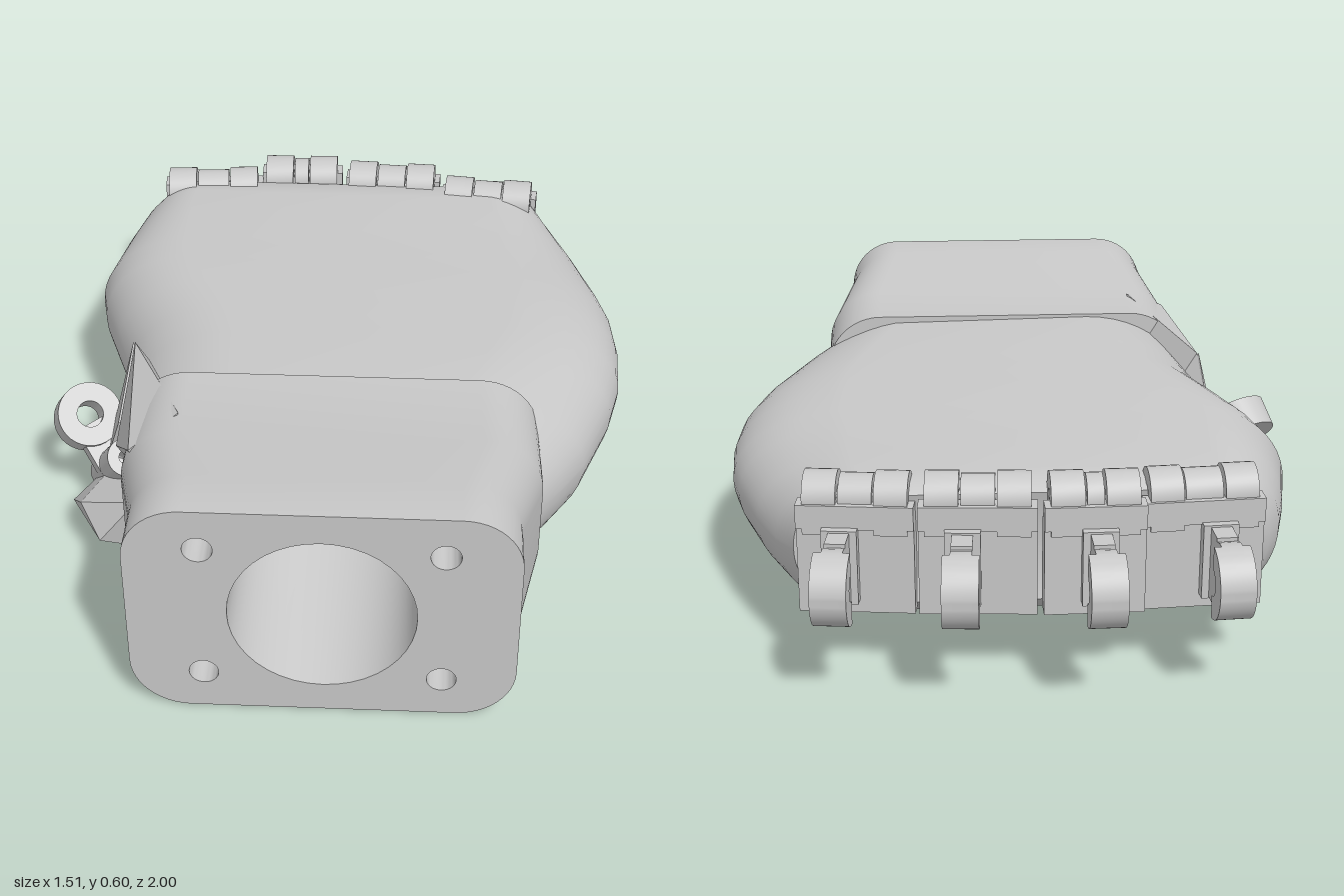
import * as THREE from 'three';
import { toCreasedNormals } from 'three/addons/utils/BufferGeometryUtils.js';
import { ConvexGeometry } from 'three/addons/geometries/ConvexGeometry.js';

const plastic = new THREE.MeshStandardMaterial({ color: 0xc8c8c8 });
plastic.name = 'grey plastic';

function mesh(name, geometry, x = 0, y = 0, z = 0) {
  const m = new THREE.Mesh(geometry, plastic);
  m.name = name;
  m.position.set(x, y, z);
  return m;
}

// Skin a row of rings; rings run anticlockwise seen from +z, first ring nearest +z
function loft(rings, capEnd = false) {
  const n = rings[0].length, index = [];
  const pos = rings.flat(2);
  for (let i = 0; i < rings.length - 1; i++) {
    for (let j = 0; j < n; j++) {
      const a = i * n + j, b = i * n + (j + 1) % n;
      index.push(a, a + n, b, b, a + n, b + n);
    }
  }
  if (capEnd) {
    const last = rings[rings.length - 1], c = rings.length * n;
    pos.push(...[0, 1, 2].map(k => last.reduce((s, p) => s + p[k], 0) / n));
    for (let j = 0; j < n; j++) index.push(c - n + j, c, c - n + (j + 1) % n);
  }
  const g = new THREE.BufferGeometry();
  g.setAttribute('position', new THREE.Float32BufferAttribute(pos, 3));
  g.setIndex(index);
  g.computeVertexNormals();
  return toCreasedNormals(g, 0.6);
}

// Rectangle outline with elliptical corners, rl on the -x side and rr on the +x side
function section(z, x0, x1, y0, y1, rl, rr, ry) {
  const out = [], steps = 12;
  const corners = [[x1 - rr, y0 + ry, rr, -1], [x1 - rr, y1 - ry, rr, 0],
    [x0 + rl, y1 - ry, rl, 1], [x0 + rl, y0 + ry, rl, 2]];
  for (const [cx, cy, rx, q] of corners) {
    for (let i = 0; i <= steps; i++) {
      const t = (q + i / steps) * Math.PI / 2;
      out.push([cx + rx * Math.cos(t), cy + ry * Math.sin(t), z]);
    }
  }
  return out;
}

function oval(cx, cy, z, rx, ry, n = 40) {
  return Array.from({ length: n }, (_, i) => {
    const t = i / n * Math.PI * 2;
    return [cx + rx * Math.cos(t), cy + ry * Math.sin(t), z];
  });
}

// Eye plate lying across x, with a pin hole; a sweep under PI leaves only its outer (-z) part
function eye(radius, hole, width, sweep = Math.PI) {
  const s = new THREE.Shape().absarc(0, 0, radius, -sweep, sweep);
  if (sweep < Math.PI) s.absarc(0, 0, hole, sweep, -sweep, true);
  else s.holes.push(new THREE.Path().absarc(0, 0, hole, 0, Math.PI * 2, true));
  const g = new THREE.ExtrudeGeometry(s, { depth: width, bevelEnabled: false, curveSegments: 16 });
  g.translate(0, 0, -width / 2).rotateY(Math.PI / 2);
  return toCreasedNormals(g, 0.6);
}

function buildWrist() {
  const wrist = new THREE.Group();
  wrist.name = 'wrist';
  const rings = [
    [1, -0.46, 0.45, 0, 0.6, 0.14], [0.87, -0.46, 0.45, 0, 0.6, 0.14],
    [0.64, -0.515, 0.51, 0.06, 0.545, 0.15], [0.4, -0.515, 0.505, 0.06, 0.545, 0.15],
  ].map(([z, x0, x1, y0, y1, r]) => section(z, x0, x1, y0, y1, r, r, r));
  wrist.add(mesh('wristShell', loft(rings, true)));

  // Front face with socket and four screw holes
  const face = new THREE.Shape(rings[0].map(p => new THREE.Vector2(p[0], p[1])));
  const holes = [[-0.005, 0.3, 0.22]];
  for (const x of [-0.285, 0.275]) for (const y of [0.11, 0.49]) holes.push([x, y, 0.035]);
  for (const [x, y, r] of holes) {
    face.holes.push(new THREE.Path(oval(x, y, 0, r, r).map(p => new THREE.Vector2(p[0], p[1])).reverse()));
  }
  wrist.add(mesh('wristFace', new THREE.ShapeGeometry(face), 0, 0, 1));
  for (const [x, y, r] of holes.slice(1)) {
    const bore = [oval(x, y, 0.8, 0.001, 0.001), oval(x, y, 0.8, r, r), oval(x, y, 1, r, r)];
    wrist.add(mesh('screwHole', loft(bore)));
  }
  // Socket narrows into the tendon channel
  const socket = [[0.2, 0.1, 0.06], [0.5, 0.205, 0.12], [1, 0.22, 0.22]];
  wrist.add(mesh('socket', loft(socket.map(([z, rx, ry]) => oval(-0.005, 0.3, z, rx, ry)))));
  return wrist;
}

function buildPalm() {
  // z, left x, right x, bottom, top, left round, right round
  const rows = [
    [0.6, -0.5, 0.51, 0.07, 0.53, 0.3, 0.3],
    [0.5, -0.52, 0.57, 0.045, 0.535, 0.3, 0.3],
    [0.4, -0.54, 0.63, 0.03, 0.537, 0.3, 0.32],
    [0.2, -0.56, 0.71, 0.045, 0.532, 0.28, 0.32],
    [0.08, -0.58, 0.74, 0.055, 0.527, 0.27, 0.31],
    [-0.05, -0.63, 0.747, 0.065, 0.523, 0.26, 0.3],
    [-0.18, -0.68, 0.737, 0.075, 0.516, 0.25, 0.29],
    [-0.27, -0.7, 0.715, 0.082, 0.51, 0.24, 0.28],
    [-0.45, -0.665, 0.655, 0.1, 0.497, 0.2, 0.24],
    [-0.57, -0.635, 0.6, 0.118, 0.487, 0.17, 0.2],
    [-0.63, -0.6, 0.565, 0.145, 0.48, 0.14, 0.15],
    [-0.66, -0.575, 0.55, 0.18, 0.46, 0.12, 0.12],
  ];
  const rings = rows.map(([z, x0, x1, y0, y1, rl, rr]) =>
    section(z, x0, x1, y0, y1, rl, rr, (y1 - y0) / 2 - 0.004));
  for (const ring of rings) for (const p of ring) {
    // Bow the knuckle end outward in the middle
    const t = THREE.MathUtils.clamp((-p[2] - 0.4) / 0.26, 0, 1);
    p[2] -= t * 0.06 * (1 - (p[0] / 0.6) ** 2);
    // Slope the back of the hand down to its outer edge
    if (p[1] > 0.27) p[1] -= (1 - t) * 0.04 * THREE.MathUtils.smoothstep(p[0], 0.2, 0.55) * (p[1] - 0.27) / 0.25;
  }
  return mesh('palm', loft(rings, true));
}

// Knuckle: back plate, hinge barrels and a tab with a pin eye
function buildKnuckle(width, tabX) {
  const g = new THREE.Group();
  g.name = 'knuckle';
  g.add(mesh('knucklePlate', new THREE.BoxGeometry(width, 0.23, 0.06), 0, -0.165, -0.03));
  g.add(mesh('hingeBed', new THREE.BoxGeometry(width, 0.06, 0.05), 0, -0.03, -0.045));
  for (const s of [-1, 1]) {
    g.add(mesh('hingeBarrel', eye(0.062, 0.02, 0.08), s * (width / 2 - 0.055)));
    g.add(mesh('hingeLug', new THREE.BoxGeometry(0.08, 0.07, 0.075), s * (width / 2 - 0.055), -0.04, -0.03));
  }
  g.add(mesh('hingeCentre', eye(0.055, 0.02, width - 0.2)));
  g.add(mesh('tabStem', new THREE.BoxGeometry(0.05, 0.18, 0.1), tabX, -0.15, -0.1));
  g.add(mesh('tabRoot', new THREE.BoxGeometry(0.085, 0.19, 0.04), tabX, -0.15, -0.07));
  g.add(mesh('tabEye', eye(0.09, 0.035, 0.05), tabX, -0.15, -0.19));
  g.add(mesh('tabTip', eye(0.0905, 0.035, 0.085, 1.5), tabX, -0.15, -0.19));
  return g;
}

function hull(name, points) {
  return mesh(name, new ConvexGeometry(points.map(p => new THREE.Vector3(...p))));
}

function buildThumb() {
  const thumb = new THREE.Group();
  thumb.name = 'thumbMount';
  // Sloping plate over the wrist edge, and the foot below it
  thumb.add(hull('thumbPlate', [
    [-0.375, 0.55, 0.575], [-0.49, 0.49, 0.65], [-0.565, 0.32, 0.42], [-0.535, 0.49, 0.2],
    [-0.57, 0.32, 0.2], [-0.42, 0.3, 0.6], [-0.42, 0.3, 0.2],
  ]));
  thumb.add(hull('thumbFoot', [
    [-0.7, 0, 0.3], [-0.64, 0, 0.2], [-0.64, 0, 0.37], [-0.71, 0.06, 0.33], [-0.66, 0.17, 0.47],
    [-0.6, 0.12, 0.56], [-0.43, 0.04, 0.5], [-0.45, 0.04, 0.25], [-0.55, 0.17, 0.2], [-0.5, 0.25, 0.56],
  ]));
  thumb.add(hull('thumbBack', [
    [-0.54, 0.49, 0.2], [-0.57, 0.33, 0.2], [-0.6, 0.1, 0.2], [-0.64, 0.1, 0.28],
    [-0.57, 0.33, 0.34], [-0.45, 0.4, 0.3], [-0.45, 0.1, 0.3],
  ]));

  // Hinge and tab, turned so that x is the hinge axis and -z points outward
  const hinge = new THREE.Group();
  hinge.name = 'thumbHinge';
  hinge.add(mesh('hingeBarrel', eye(0.05, 0.02, 0.28)));
  hinge.add(mesh('tabStem', new THREE.BoxGeometry(0.05, 0.1, 0.14), -0.02, 0, -0.06));
  hinge.add(mesh('tabEye', eye(0.085, 0.035, 0.085), -0.02, 0, -0.15));
  const axis = new THREE.Vector3(0.312, 0.698, 0.643).normalize();
  const inward = new THREE.Vector3(0.57, -0.26, 0.68);
  inward.addScaledVector(axis, -inward.dot(axis)).normalize();
  const side = new THREE.Vector3().crossVectors(inward, axis);
  hinge.quaternion.setFromRotationMatrix(new THREE.Matrix4().makeBasis(axis, side, inward));
  hinge.position.set(-0.575, 0.215, 0.36);
  // Bring the eye of the tab to its place beside the palm
  const tip = new THREE.Vector3(-0.02, 0, -0.15).applyQuaternion(hinge.quaternion);
  hinge.position.set(-0.672, 0.265, 0.23).sub(tip);
  thumb.add(hinge);
  return thumb;
}

export function createModel() {
  const hand = new THREE.Group();
  hand.name = 'mechanicalPalm';
  hand.add(buildWrist(), buildPalm(), buildThumb());
  // x, y, z, turn, width, tab offset
  const knuckles = [
    [-0.42, 0.45, -0.665, 0.07, 0.29, -0.035], [-0.16, 0.465, -0.72, 0.02, 0.24, -0.01],
    [0.11, 0.46, -0.7, -0.06, 0.28, 0.035], [0.395, 0.445, -0.645, -0.11, 0.28, 0.035],
  ];
  for (const [x, y, z, turn, width, tabX] of knuckles) {
    const k = buildKnuckle(width, tabX);
    k.position.set(x, y, z);
    k.rotation.y = turn;
    hand.add(k);
  }
  return hand;
}
